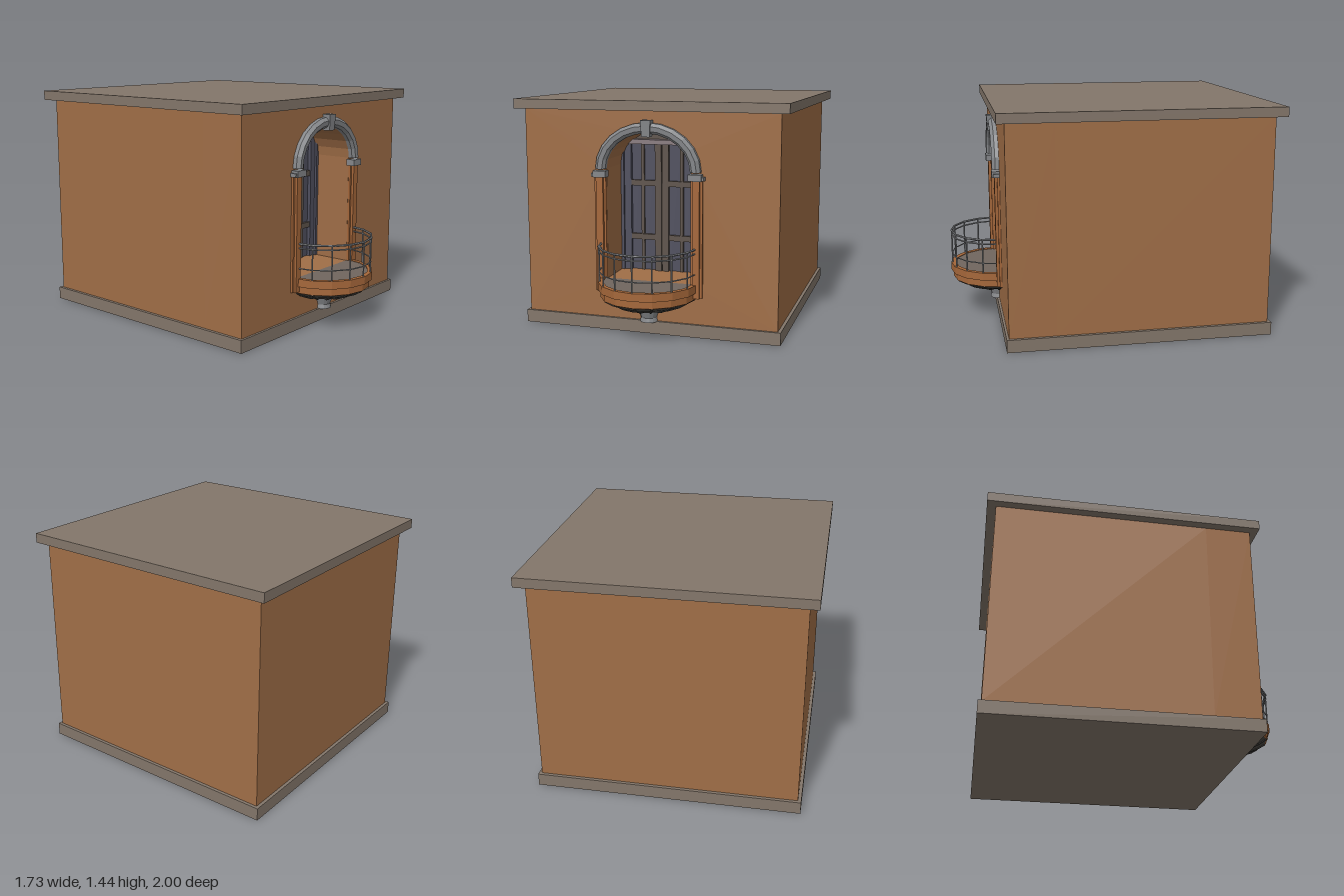
import * as THREE from 'three';

const mat = (color) => new THREE.MeshStandardMaterial({ color, flatShading: true });
const M = {
  wall: mat(0xa06e47), slab: mat(0x83766a), orange: mat(0xa5673a), grey: mat(0x85878a),
  dark: mat(0x4a4742), floor: mat(0x70665e), blue: mat(0x50505f), brown: mat(0x5f544c), lilac: mat(0x8a7c80),
};

const FRONT = 0.68, NICHE_BACK = 0.39, ARCH_SEGS = 12;

// point on the arch: t = 0 on the inner edge, t = 1 on the outer edge
const archPoint = (t, i) => {
  const a = (i / ARCH_SEGS) * Math.PI;
  return [(0.27 + 0.065 * t) * Math.cos(a), 1.02 + (0.225 + 0.065 * t) * Math.sin(a)];
};

function add(parent, name, geometry, material) {
  const mesh = new THREE.Mesh(geometry, material);
  mesh.name = name;
  parent.add(mesh);
  return mesh;
}

// box given by its limits on each axis
function box(parent, name, [x0, x1], [y0, y1], [z0, z1], material) {
  const g = new THREE.BoxGeometry(x1 - x0, y1 - y0, z1 - z0);
  g.translate((x0 + x1) / 2, (y0 + y1) / 2, (z0 + z1) / 2);
  return add(parent, name, g, material);
}

// thin round bar between two points
function bar(parent, name, a, b, r, material) {
  const d = b.clone().sub(a);
  const mesh = add(parent, name, new THREE.CylinderGeometry(r, r, d.length(), 6), material);
  mesh.position.copy(a).add(b).multiplyScalar(0.5);
  mesh.quaternion.setFromUnitVectors(new THREE.Vector3(0, 1, 0), d.normalize());
}

// half round solid standing against the front wall
function halfLathe(parent, name, profile, material) {
  const pts = profile.map(([r, y]) => new THREE.Vector2(r, y));
  const mesh = add(parent, name, new THREE.LatheGeometry(pts, 8, -Math.PI / 2, Math.PI), material);
  mesh.position.z = FRONT;
}

function buildShell(root) {
  box(root, 'baseSlab', [-0.83, 0.83], [0, 0.08], [-0.965, 0.695], M.slab);
  box(root, 'roofSlab', [-0.865, 0.865], [1.38, 1.44], [-1, 0.73], M.slab);
  box(root, 'walls', [-0.81, 0.81], [0.08, 1.38], [-0.945, NICHE_BACK], M.wall);

  // front wall with the arched niche cut through it
  const shape = new THREE.Shape();
  shape.moveTo(-0.81, 0.08).lineTo(0.81, 0.08).lineTo(0.81, 1.38).lineTo(-0.81, 1.38).closePath();
  const hole = new THREE.Path();
  hole.moveTo(0.27, 0.33);
  for (let i = 0; i <= ARCH_SEGS; i++) hole.lineTo(...archPoint(0, i));
  hole.lineTo(-0.27, 0.33).closePath();
  shape.holes.push(hole);
  const g = new THREE.ExtrudeGeometry(shape, { depth: FRONT - NICHE_BACK, bevelEnabled: false });
  add(root, 'frontWall', g, M.wall).position.z = NICHE_BACK;
}

function buildArch(root) {
  // bevelled moulding swept around the arch
  const section = [[0, 0.679], [0, 0.705], [0.25, 0.722], [0.7, 0.725], [1, 0.705], [1, 0.679]];
  const n = section.length, pos = [], index = [];
  for (let i = 0; i <= ARCH_SEGS; i++) {
    for (const [t, z] of section) pos.push(...archPoint(t, i), z);
    if (i === ARCH_SEGS) break;
    for (let j = 0; j < n - 1; j++) {
      const a = i * n + j, b = a + n;
      index.push(a, a + 1, b, b, a + 1, b + 1);
    }
  }
  const g = new THREE.BufferGeometry();
  g.setAttribute('position', new THREE.Float32BufferAttribute(pos, 3));
  g.setIndex(index);
  g.computeVertexNormals();
  add(root, 'archMoulding', g, M.grey);

  // keystone, tapered towards the bottom
  const key = new THREE.CylinderGeometry(0.045, 0.036, 0.1, 4, 1, false, Math.PI / 4);
  add(root, 'keystone', key, M.grey).position.set(0, 1.275, 0.703);

  // pilasters and their capitals
  for (const s of [-1, 1]) {
    const side = new THREE.Group();
    side.name = s > 0 ? 'leftPilaster' : 'rightPilaster';
    const span = (a, b) => (s > 0 ? [a, b] : [-b, -a]);
    box(side, 'pilasterBack', span(0.271, 0.345), [0.25, 0.97], [0.67, 0.695], M.orange);
    box(side, 'pilasterFace', span(0.285, 0.33), [0.25, 0.97], [0.67, 0.712], M.orange);
    box(side, 'capital', span(0.262, 0.345), [0.97, 1.01], [0.67, 0.728], M.grey);
    box(side, 'capitalRim', span(0.272, 0.358), [0.972, 0.995], [0.67, 0.72], M.grey);
    root.add(side);
  }
}

function buildDoor(root) {
  const door = new THREE.Group();
  door.name = 'balconyDoor';
  root.add(door);
  const z = NICHE_BACK;
  // backing fills the niche behind the door
  const fan = new THREE.Shape();
  fan.moveTo(-0.27, 0.33).lineTo(0.27, 0.33);
  for (let i = 0; i <= ARCH_SEGS; i++) fan.lineTo(...archPoint(0, i));
  add(door, 'doorBacking', new THREE.ShapeGeometry(fan), M.brown).position.z = z + 0.002;
  box(door, 'lintel', [-0.25, 0.25], [1.15, 1.18], [z, z + 0.05], M.lilac);
  for (const s of [-1, 1]) {
    const span = (a, b) => (s > 0 ? [a, b] : [-b, -a]);
    box(door, 'doorJamb', span(0.25, 0.269), [0.331, 1.16], [z, z + 0.05], M.blue);
    box(door, 'outerStile', span(0.205, 0.25), [0.331, 1.15], [z, z + 0.035], M.blue);
    box(door, 'middleStile', span(0.12, 0.14), [0.331, 1.15], [z, z + 0.025], M.brown);
    box(door, 'innerStile', span(0.002, 0.045), [0.331, 1.15], [z, z + 0.035], M.brown);
    box(door, 'outerPane', span(0.14, 0.205), [0.331, 1.15], [z, z + 0.012], M.blue);
    box(door, 'innerPane', span(0.045, 0.12), [0.331, 1.15], [z, z + 0.012], M.blue);
    for (const y of [0.55, 0.9])
      box(door, 'doorRail', span(0.045, 0.205), [y - 0.018, y + 0.018], [z, z + 0.03], M.brown);
  }
}

function buildBalcony(root) {
  const balcony = new THREE.Group();
  balcony.name = 'balcony';
  root.add(balcony);
  halfLathe(balcony, 'platformRim',
    [[0.29, 0.235], [0.3, 0.24], [0.3, 0.285], [0.315, 0.285], [0.315, 0.335], [0.285, 0.335], [0.285, 0.328]], M.orange);
  halfLathe(balcony, 'balconyFloor', [[0.29, 0.331], [0, 0.331]], M.floor);
  const bowl = [[0.05, 0.153], [0.15, 0.172], [0.24, 0.208], [0.293, 0.24]];
  halfLathe(balcony, 'bowl', bowl, M.dark);
  halfLathe(balcony, 'corbel',
    [[0, 0.078], [0.056, 0.078], [0.05, 0.105], [0.066, 0.15], [0.05, 0.158]], M.grey);

  const at = (k, r, y) => {
    const a = ((k - 4) / 8) * Math.PI;
    return new THREE.Vector3(r * Math.sin(a), y, FRONT + r * Math.cos(a) + (k % 8 === 0 ? 0.01 : 0));
  };
  for (let k = 0; k <= 8; k++) {
    // ribs under the bowl
    for (let j = 0; j < bowl.length - 1; j++)
      bar(balcony, 'rib', at(k, ...bowl[j]), at(k, ...bowl[j + 1]), 0.007, M.dark);
    bar(balcony, 'baluster', at(k, 0.304, 0.33), at(k, 0.304, 0.555), 0.005, M.grey);
    // rails between neighbouring balusters
    if (k < 8)
      for (const [y, r] of [[0.4, 0.004], [0.528, 0.005], [0.555, 0.007]])
        bar(balcony, 'railing', at(k, 0.306, y), at(k + 1, 0.306, y), r, M.grey);
  }
}

export function createModel() {
  const root = new THREE.Group();
  root.name = 'balconyHouse';
  buildShell(root);
  buildArch(root);
  buildDoor(root);
  buildBalcony(root);
  return root;
}
